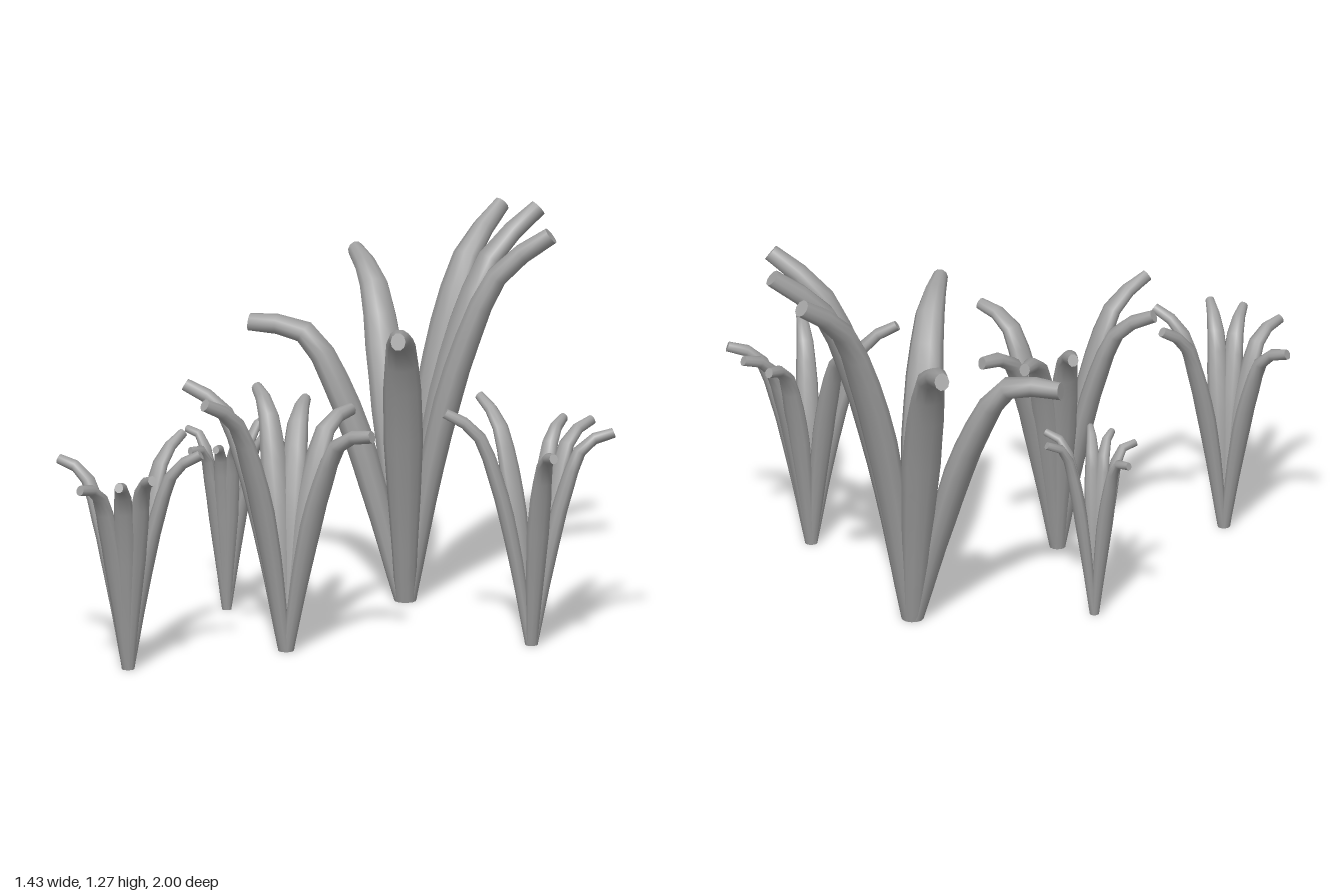
import * as THREE from 'three';

const leafGrey = new THREE.MeshStandardMaterial({ color: 0xa0a0a0 });
leafGrey.name = 'leaf grey';

// Each plant: base position, widest leaf half-width, extra curl, leaf tips as [x, y, z]
const PLANTS = [
  { name: 'largeBackPlant', x: -0.235, z: -0.51, size: 0.064, curl: 0,
    tips: [[-0.305, 1.22, -0.985], [-0.105, 1.25, -0.965], [0.12, 1.225, -0.82], [-0.705, 1.04, -0.71], [-0.68, 0.885, -0.235], [0.12, 0.985, -0.165]] },
  { name: 'rightPlant', x: 0.455, z: -0.44, size: 0.037, curl: 0.03,
    tips: [[0.34, 0.69, -0.68], [0.45, 0.70, -0.705], [0.595, 0.69, -0.67], [0.18, 0.77, -0.46], [0.28, 0.77, -0.225], [0.705, 0.685, -0.315]] },
  { name: 'smallLeftPlant', x: -0.53, z: -0.005, size: 0.028, curl: 0.06,
    tips: [[-0.51, 0.62, -0.175], [-0.375, 0.6, -0.09], [-0.38, 0.58, 0.08], [-0.43, 0.57, 0.13], [-0.52, 0.555, 0.16], [-0.7, 0.57, 0.015]] },
  { name: 'middlePlant', x: -0.01, z: 0.2, size: 0.046, curl: 0.03,
    tips: [[-0.06, 0.735, -0.125], [-0.21, 0.75, -0.06], [-0.31, 0.79, 0.06], [-0.29, 0.86, 0.385], [-0.02, 0.87, 0.54], [0.31, 0.755, 0.115]] },
  { name: 'frontPlant', x: -0.17, z: 0.735, size: 0.037, curl: 0.03,
    tips: [[-0.18, 0.74, 0.49], [0.03, 0.725, 0.6], [0.06, 0.685, 0.835], [0, 0.665, 0.925], [-0.115, 0.645, 0.99], [-0.41, 0.665, 0.82]] },
];

// Half-width and half-thickness along the leaf, relative to the widest half-width
const WIDTH = [0.5, 0.66, 0.85, 1, 0.96, 0.74, 0.38];
const THICK = [0.4, 0.52, 0.64, 0.7, 0.66, 0.56, 0.45];

function sample(list, t) {
  const f = t * (list.length - 1);
  const i = Math.min(Math.floor(f), list.length - 2);
  return THREE.MathUtils.lerp(list[i], list[i + 1], f - i);
}

// Arching leaf: oval cross-sections swept along a curve lying in a vertical plane
function leafGeometry(dir, reach, height, size, bend) {
  const rows = 12, sides = 10;
  const curve = new THREE.CatmullRomCurve3(
    [[0.02, 0], [0.2, 0.4], [0.4, 0.68 + bend * 0.7], [0.65, 0.89 + bend], [1, 1]]
      .map(([r, y]) => dir.clone().multiplyScalar(r * reach).setY(y * height)));
  const side = new THREE.Vector3(dir.z, 0, -dir.x);
  const positions = [], index = [];

  const addRing = (t) => {
    const start = positions.length / 3;
    const centre = curve.getPointAt(t);
    const tangent = t === 0 ? new THREE.Vector3(0, 1, 0) : curve.getTangentAt(t);
    const up = new THREE.Vector3().crossVectors(tangent, side);
    for (let j = 0; j < sides; j++) {
      const a = (j / sides) * Math.PI * 2;
      const p = centre.clone()
        .addScaledVector(side, Math.cos(a) * size * sample(WIDTH, t))
        .addScaledVector(up, Math.sin(a) * size * sample(THICK, t));
      positions.push(p.x, p.y, p.z);
    }
    return start;
  };

  for (let i = 0; i <= rows; i++) {
    const b = addRing(i / rows);
    if (i === 0) continue;
    const a = b - sides;
    for (let j = 0; j < sides; j++) {
      const k = (j + 1) % sides;
      index.push(a + j, a + k, b + j, a + k, b + k, b + j);
    }
  }
  // Flat cut ends with their own vertices so the rims stay sharp
  const foot = addRing(0), tip = addRing(1);
  for (let j = 1; j < sides - 1; j++) {
    index.push(foot, foot + j + 1, foot + j, tip, tip + j, tip + j + 1);
  }
  // side, up and tangent are right-handed, so the rings wind outward
  const geometry = new THREE.BufferGeometry();
  geometry.setAttribute('position', new THREE.Float32BufferAttribute(positions, 3));
  geometry.setIndex(index);
  geometry.computeVertexNormals();
  return geometry;
}

export function createModel() {
  const model = new THREE.Group();
  model.name = 'leafyPlants';
  for (const { name, x, z, size, curl, tips } of PLANTS) {
    const plant = new THREE.Group();
    plant.name = name;
    plant.position.set(x, 0, z);
    const tallest = Math.max(...tips.map((t) => t[1]));
    tips.forEach(([tx, ty, tz], i) => {
      const dir = new THREE.Vector3(tx - x, 0, tz - z);
      const reach = dir.length();
      // Lower leaves droop more
      const bend = curl + 0.3 * (1 - ty / tallest);
      const leaf = new THREE.Mesh(leafGeometry(dir.normalize(), reach, ty, size, bend), leafGrey);
      leaf.name = `leaf${i + 1}`;
      plant.add(leaf);
    });
    model.add(plant);
  }
  return model;
}
